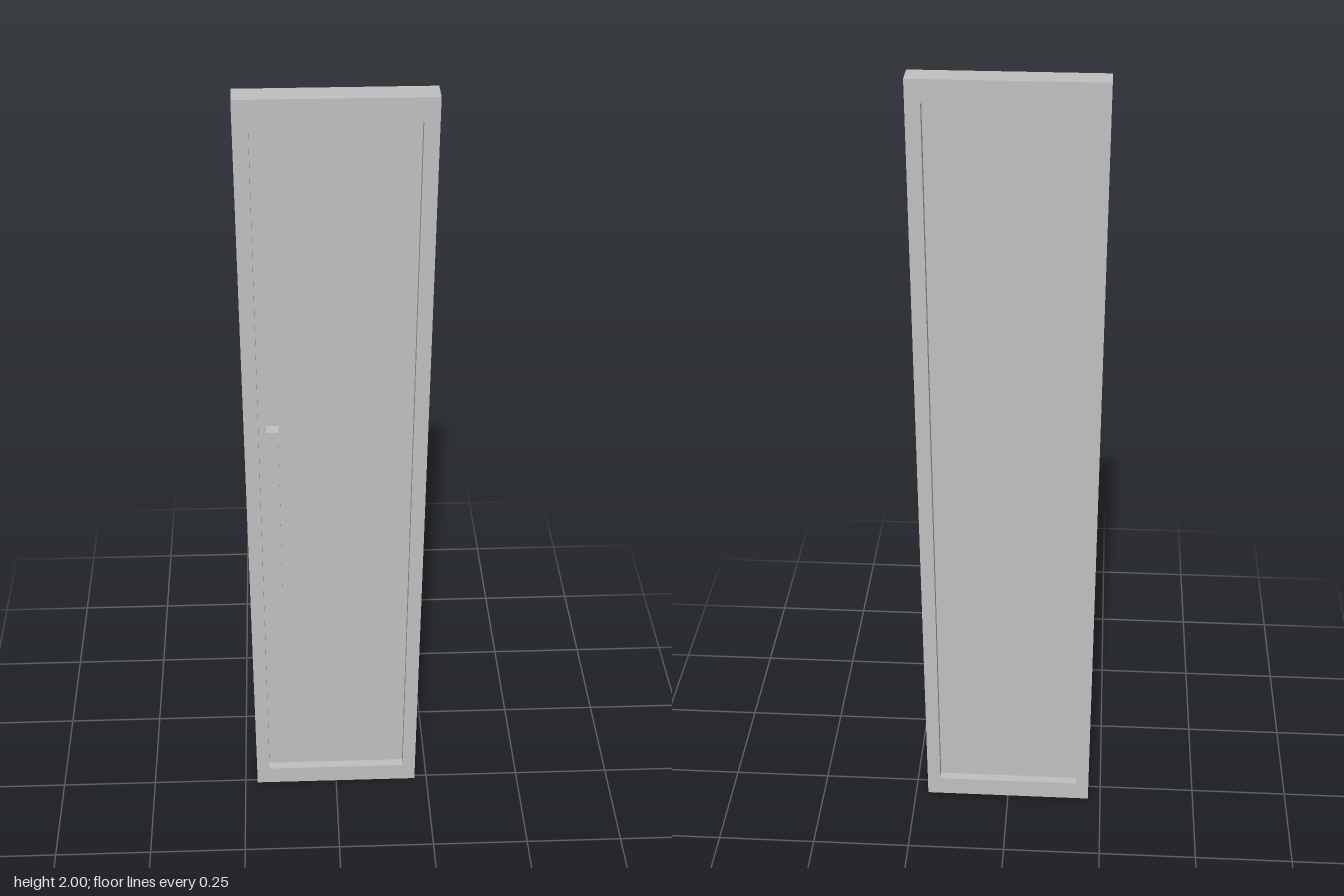
import * as THREE from 'three';

export function createModel() {
  const model = new THREE.Group();
  model.name = 'door';
  const grey = new THREE.MeshStandardMaterial({ color: 0xc0c0c0 });
  grey.name = 'grey';

  const W = 0.434, H = 2, depth = 0.058, backZ = -0.048;
  const side = 0.034, rail = 0.053, panelDepth = 0.014;

  const add = (name, geometry, x, y, z) => {
    const mesh = new THREE.Mesh(geometry, grey);
    mesh.name = name;
    mesh.position.set(x, y, z);
    model.add(mesh);
  };

  // Frame: one rectangle with a rectangular opening
  const outline = (x, y) => [[-x, y], [x, y], [x, H - y], [-x, H - y]].map(p => new THREE.Vector2(...p));
  const frame = new THREE.Shape(outline(W / 2, 0));
  frame.holes.push(new THREE.Path(outline(W / 2 - side, rail).reverse()));
  add('frame', new THREE.ExtrudeGeometry(frame, { depth, bevelEnabled: false }), 0, 0, backZ);

  // Panel recessed on both sides
  add('panel', new THREE.BoxGeometry(W - 2 * side, H - 2 * rail, panelDepth), 0, H / 2, backZ + depth / 2);

  // Upright bar handle, standing just clear of the front
  add('handle', new THREE.BoxGeometry(0.029, 0.48, 0.028), -0.15, 0.957, 0.033);

  return model;
}
